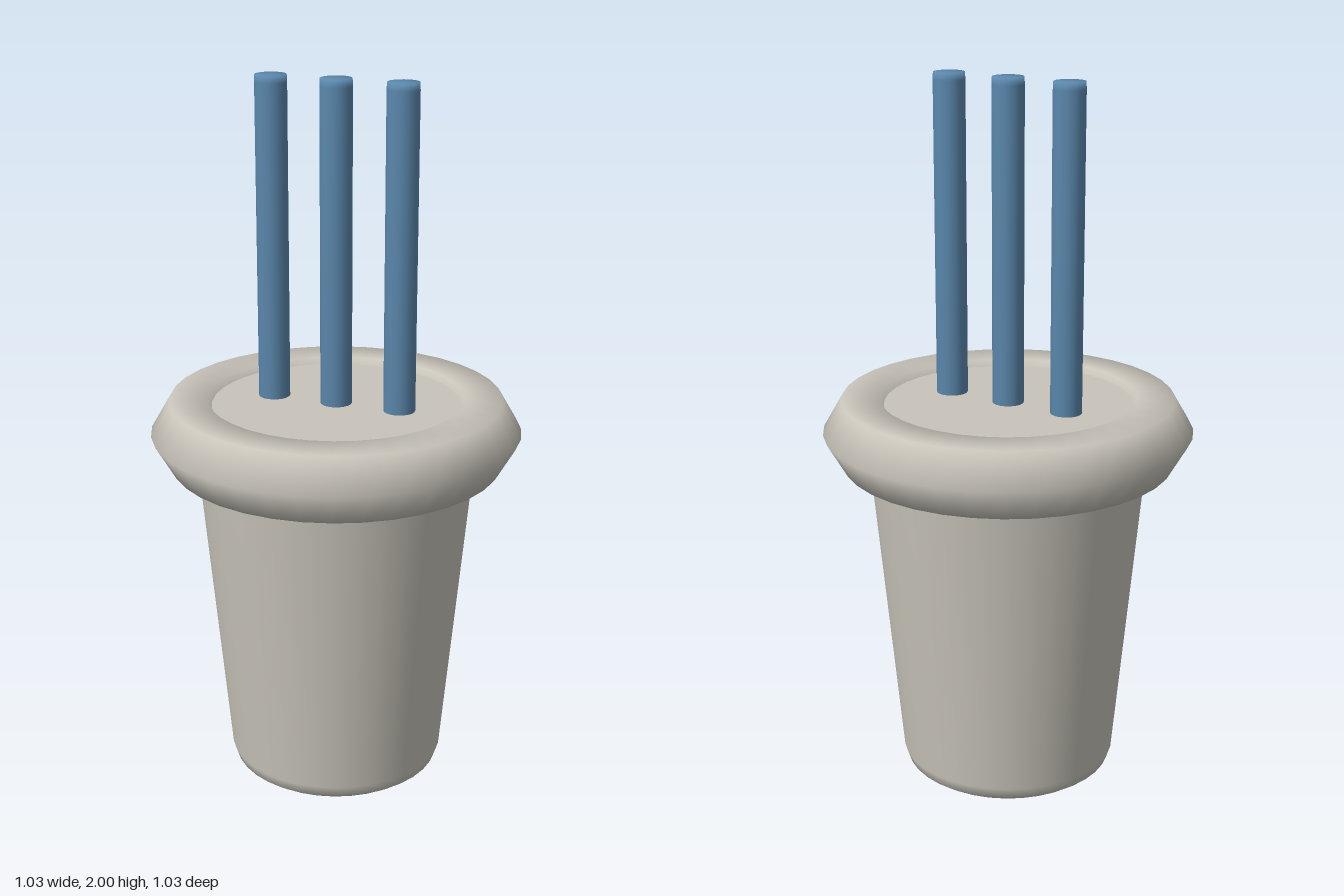
import * as THREE from 'three';

// Smooth surface of revolution from a [radius, y] profile, listed bottom to top
function lathe(profile, segments, material, name) {
  const points = profile.map(([r, y]) => new THREE.Vector2(r, y));
  const mesh = new THREE.Mesh(new THREE.LatheGeometry(points, segments), material);
  mesh.name = name;
  return mesh;
}

export function createModel() {
  const model = new THREE.Group();
  model.name = 'plugWithRods';

  const stone = new THREE.MeshStandardMaterial({ color: 0xc8c4ba });
  stone.name = 'warm grey';
  const blue = new THREE.MeshStandardMaterial({ color: 0x5b88ad });
  blue.name = 'steel blue';

  // Tapered body with a rounded foot
  model.add(lathe(
    [[0, 0], [0.25, 0], [0.275, 0.006], [0.297, 0.022], [0.308, 0.055], [0.405, 1.105]],
    36, stone, 'body'));

  // Flat top of the body, inside the rim
  const lid = new THREE.Mesh(new THREE.CircleGeometry(0.405, 36), stone);
  lid.name = 'lid';
  lid.rotation.x = -Math.PI / 2;
  lid.position.y = 1.105;
  model.add(lid);

  // Rim: ring with a six-sided section
  const rim = new THREE.Mesh(new THREE.TorusGeometry(0.41, 0.107, 6, 36), stone);
  rim.name = 'rim';
  rim.rotation.x = -Math.PI / 2;
  rim.position.y = 1.03;
  model.add(rim);

  // Three upright rods with softly shaded ends
  for (const x of [-0.186, 0, 0.186]) {
    const rod = lathe([[0, 1.0], [0.044, 1.0], [0.044, 1.98], [0.043, 2], [0, 2]], 20, blue, 'rod');
    rod.position.x = x;
    model.add(rod);
  }

  return model;
}
